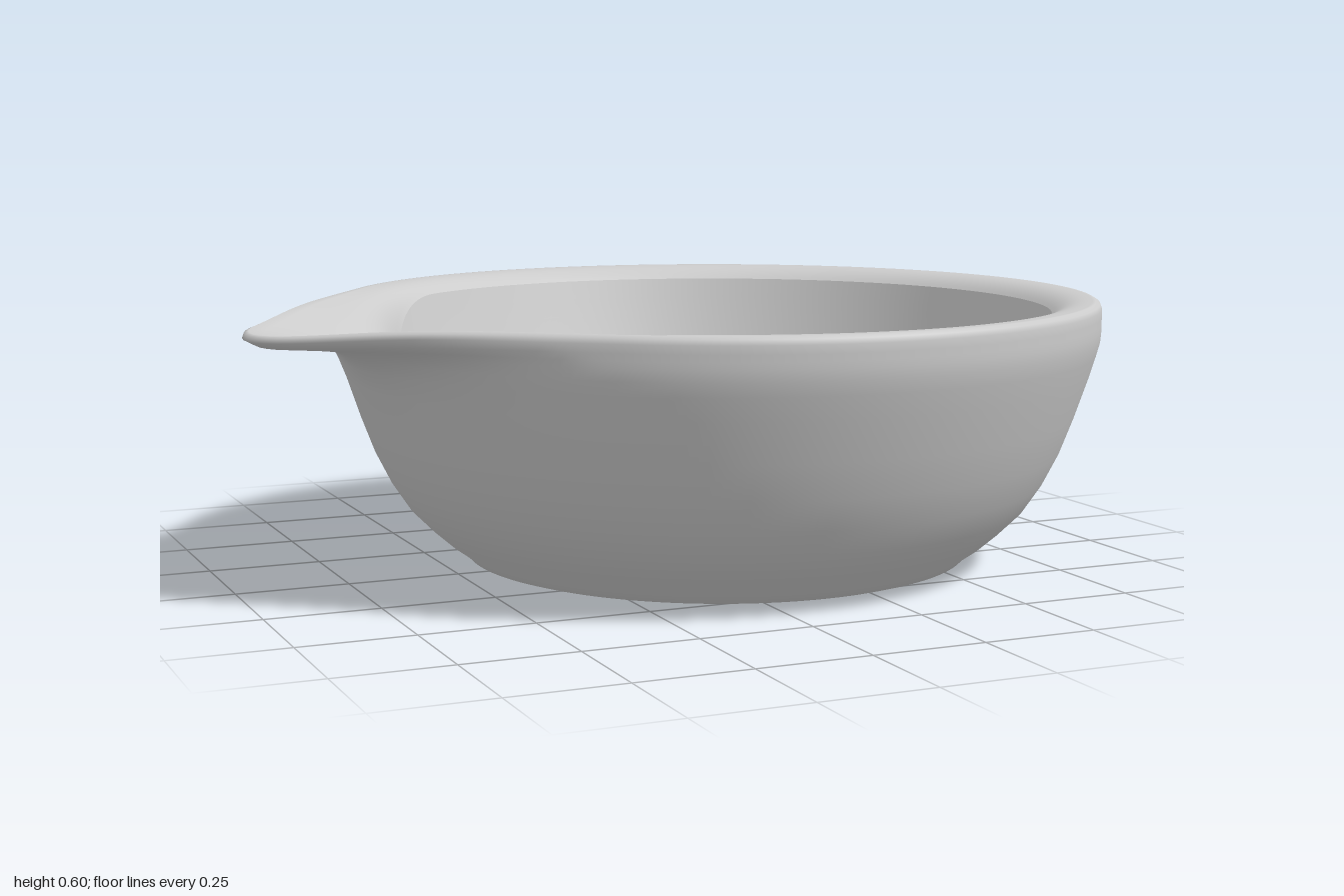
import * as THREE from 'three';

const SEGMENTS = 240;
const CENTER_X = 0.13, RADIUS = 0.87;

// Spout tip: a small circle joined to the bowl's circle by tangent lines
const TIP = { x: -0.84, z: 0.15, r: 0.16 };
const TIP_DIST = Math.hypot(TIP.x - CENTER_X, TIP.z);
const TIP_ANGLE = Math.atan2(TIP.z, TIP.x - CENTER_X);
const TANGENT = Math.acos((RADIUS - TIP.r) / TIP_DIST);
const TIP_TANGENT = Math.atan2(TIP.r * Math.sin(TANGENT), TIP_DIST + TIP.r * Math.cos(TANGENT));

// Angle away from the spout axis, 0..PI
function fromSpout(theta) {
  const d = theta - TIP_ANGLE;
  return Math.abs(Math.atan2(Math.sin(d), Math.cos(d)));
}

// Rim outline in plan
function outline(phi) {
  if (phi > TANGENT) return RADIUS;
  if (phi > TIP_TANGENT) return RADIUS / Math.cos(TANGENT - phi);
  return TIP_DIST * Math.cos(phi) + Math.sqrt(TIP.r ** 2 - (TIP_DIST * Math.sin(phi)) ** 2);
}

// How deep the pouring channel is cut: 1 on the spout axis, fading to 0
function channel(phi) {
  const limit = 1.02;
  return phi > limit ? 0 : Math.cos((phi / limit) * Math.PI / 2) ** 2;
}

// Inner wall radius at a height
const wallRadius = (y) => 0.6 + 0.16 * (Math.max(0, y - 0.12) / 0.45) ** 0.8;

// Height of the rim or channel surface; f runs from lip (0) to inner edge (1)
function rimHeight(phi, f) {
  const c = channel(phi);
  return 0.6 - 0.025 * c ** 8 - (1 - c) * 0.03 * f ** 3 - c * (0.09 * f + 0.215 * f ** 5);
}

// Closed loft: each row is a function of the spout angle giving [radius, y]
function loft(name, rows, material) {
  const positions = [], index = [];
  for (const row of rows) {
    for (let j = 0; j < SEGMENTS; j++) {
      const theta = TIP_ANGLE + (j / SEGMENTS) * Math.PI * 2;
      const [r, y] = row(fromSpout(theta));
      positions.push(CENTER_X + r * Math.cos(theta), y, r * Math.sin(theta));
    }
  }
  for (let i = 0; i < rows.length - 1; i++) {
    for (let j = 0; j < SEGMENTS; j++) {
      const k = (j + 1) % SEGMENTS;
      const a = i * SEGMENTS + j, b = a + SEGMENTS;
      const c = i * SEGMENTS + k, d = c + SEGMENTS;
      index.push(a, b, c, b, d, c);
    }
  }
  const geometry = new THREE.BufferGeometry();
  geometry.setAttribute('position', new THREE.Float32BufferAttribute(positions, 3));
  geometry.setIndex(index);
  geometry.computeVertexNormals();
  const mesh = new THREE.Mesh(geometry, material);
  mesh.name = name;
  return mesh;
}

export function createModel() {
  const group = new THREE.Group();
  group.name = 'pouringBowl';
  const material = new THREE.MeshStandardMaterial({ color: 0xcccccc, side: THREE.DoubleSide });

  // Outside: radius, height, share of the spout's overhang
  const outside = [
    [0, 0, 0], [0.5, 0, 0], [0.55, 0.002, 0], [0.575, 0.01, 0], [0.59, 0.025, 0],
    [0.625, 0.05, 0], [0.665, 0.085, 0], [0.71, 0.13, 0], [0.75, 0.19, 0],
    [0.785, 0.26, 0], [0.815, 0.34, 0], [0.845, 0.43, 0], [0.86, 0.48, 0.06],
    [0.868, 0.51, 0.14], [0.87, 0.535, 0.32], [0.87, 0.55, 0.62], [0.87, 0.565, 0.9],
    [0.87, 0.583, 1], [0.866, 0.594, 1],
  ];
  const shell = outside.map(([r, y, w]) => (phi) => [
    r + (outline(phi) - RADIUS) * w,
    y - 0.022 * channel(phi) ** 8 * w * w,
  ]);

  // Rim, running into the channel at the spout
  const RIM_STEPS = 14;
  for (let i = 0; i <= RIM_STEPS; i++) {
    const f = i / RIM_STEPS;
    shell.push((phi) => {
      const inner = wallRadius(rimHeight(phi, 1));
      return [THREE.MathUtils.lerp(outline(phi) - 0.014, inner, f), rimHeight(phi, f)];
    });
  }
  group.add(loft('outerShellWithSpout', shell, material));

  // Inner wall from the rim edge down to the floor bevel
  const wall = [];
  const WALL_STEPS = 10;
  for (let i = 0; i <= WALL_STEPS; i++) {
    wall.push((phi) => {
      const y = THREE.MathUtils.lerp(rimHeight(phi, 1), 0.12, i / WALL_STEPS);
      return [wallRadius(y), y];
    });
  }
  group.add(loft('innerWall', wall, material));

  // Floor with its rounded bevel
  const floor = [[0.6, 0.12], [0.57, 0.088], [0.545, 0.069], [0.52, 0.061], [0.49, 0.06], [0, 0.06]];
  group.add(loft('innerFloor', floor.map((p) => () => p), material));

  return group;
}
